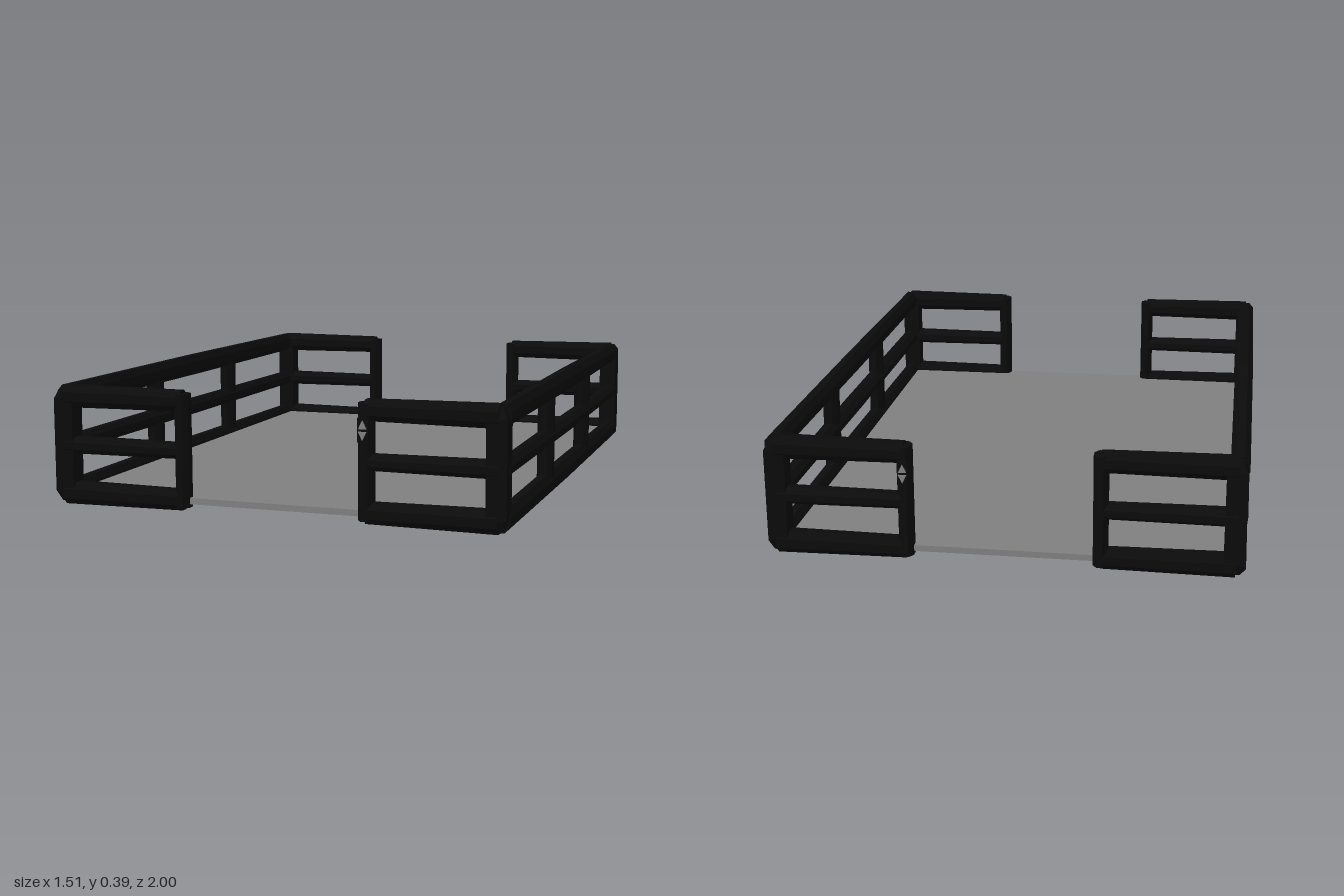
import * as THREE from 'three';

export function createModel() {
  const model = new THREE.Group();
  const black = new THREE.MeshStandardMaterial({ color: 0x0b0b0b, flatShading: true });
  black.name = 'black frame';
  const grey = new THREE.MeshStandardMaterial({ color: 0x808080 });
  grey.name = 'grey floor';

  const add = (name, geometry, material, x, y, z) => {
    const mesh = new THREE.Mesh(geometry, material);
    mesh.name = name;
    mesh.position.set(x, y, z);
    model.add(mesh);
    return mesh;
  };

  // Octagonal bar along an axis; sx, sy, sz are its overall sizes,
  // taper narrows the section towards its upper / positive end.
  const bar = (name, axis, sx, sy, sz, x, y, z, taper = 1) => {
    const r = 0.5 / Math.cos(Math.PI / 8);
    const g = new THREE.CylinderGeometry(r * taper, r, 1, 8);
    g.rotateY(Math.PI / 8);
    if (axis === 'x') g.rotateZ(-Math.PI / 2);
    if (axis === 'z') g.rotateX(Math.PI / 2);
    g.scale(sx, sy, sz);
    return add(name, g, black, x, y, z);
  };

  // Square block narrowing upwards (dir 1) or downwards (dir -1)
  const cornerCap = (x, y, z, dir) => {
    const g = new THREE.CylinderGeometry(0.017 * Math.SQRT2, 0.032 * Math.SQRT2, 0.035, 4);
    g.rotateY(Math.PI / 4);
    if (dir < 0) g.rotateX(Math.PI);
    add('cornerCap', g, black, x, y, z);
  };

  // Floor plate
  add('floor', new THREE.BoxGeometry(1.44, 0.02, 1.93), grey, 0, 0.04, -0.005);

  const rails = [[0.042, 0.074], [0.199, 0.056], [0.358, 0.074]];
  const ends = [{ z: 0.951, dir: 1 }, { z: -0.963, dir: -1 }];

  for (const side of [1, -1]) {
    // Long side rails, a little fuller at mid length
    for (const [y, h] of rails) {
      for (const end of [1, -1]) {
        const rail = bar('sideRail', 'z', 0.064, h, 0.956, side * 0.722, y, end * 0.478 - 0.006, 0.92);
        if (end < 0) rail.rotation.y = Math.PI;
      }
    }
    // Middle posts of the long sides
    for (const z of [0.32, -0.32]) {
      bar('sidePost', 'y', 0.052, 0.31, 0.076, side * 0.722, 0.2, z);
    }
    for (const { z, dir } of ends) {
      // Corner posts with bevelled ends
      add('cornerPost', new THREE.BoxGeometry(0.064, 0.30, 0.064), black, side * 0.715, 0.2, z);
      cornerCap(side * 0.715, 0.3675, z, 1);
      cornerCap(side * 0.715, 0.0325, z, -1);
      // Short rails beside the gateway
      for (const [y, h] of rails) {
        const rail = bar('gateRail', 'x', 0.415, h * 0.96, 0.066, side * 0.5125, y, z, 1 / 0.9);
        rail.scale.set(1, 0.93, 0.97);
        rail.position.y = y * 1 + 0.0;
        if (side < 0) rail.rotation.y = Math.PI;
      }
      // Gate post
      bar('gatePost', 'y', 0.046, 0.362, 0.064, side * 0.305, 0.2, z);

      // Up and down buttons on one gate post of each end
      if (side > 0) {
        const face = z + dir * 0.035;
        add('buttonPanel', new THREE.BoxGeometry(0.034, 0.075, 0.008), black, 0.305, 0.3, face);
        for (const up of [1, -1]) {
          const s = new THREE.Shape();
          s.moveTo(-0.013, 0);
          s.lineTo(0.013, 0);
          s.lineTo(0, 0.027);
          const g = new THREE.ExtrudeGeometry(s, { depth: 0.006, bevelEnabled: false });
          g.translate(0, 0, -0.003);
          const arrow = add(up > 0 ? 'upButton' : 'downButton', g, grey, 0.305, 0.3 + up * 0.004, face + dir * 0.006);
          if (up < 0) arrow.rotation.z = Math.PI;
        }
      }
    }
  }
  return model;
}
